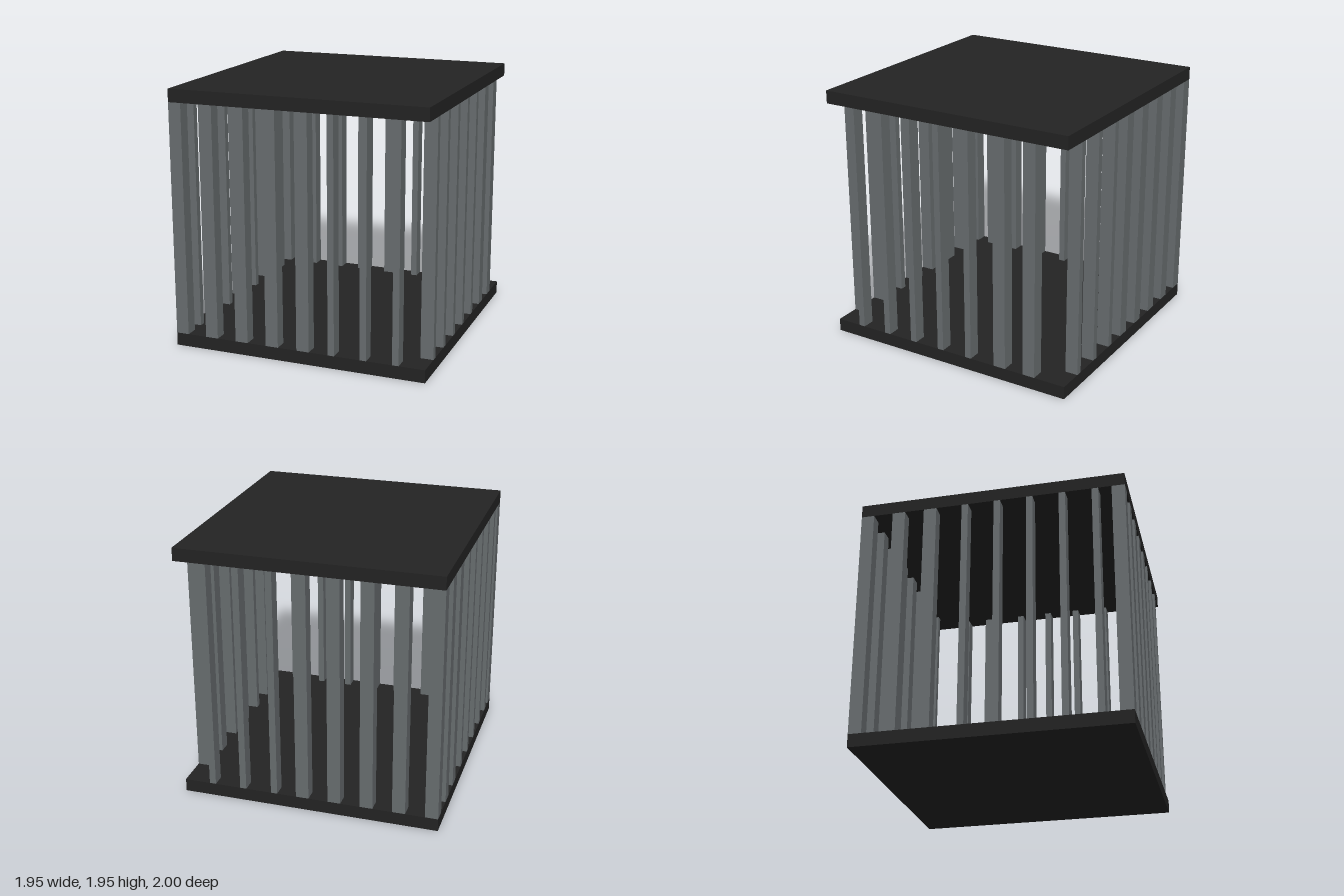
import * as THREE from 'three';

const U = 2 / 41; // one grid unit: the cage is 40 x 40 x 41 units

export function createModel() {
  const cage = new THREE.Group();
  cage.name = 'cage';
  const plateMat = new THREE.MeshStandardMaterial({ color: 0x232323 });
  plateMat.name = 'black plate';
  const barMat = new THREE.MeshStandardMaterial({ color: 0x676c6e });
  barMat.name = 'grey bar';

  // Box given by its minimum corner and size, in grid units
  function box(name, mat, x, y, z, w, h, d) {
    const mesh = new THREE.Mesh(new THREE.BoxGeometry(w * U, h * U, d * U), mat);
    mesh.position.set((x + w / 2) * U, (y + h / 2) * U, (z + d / 2) * U);
    mesh.name = name;
    cage.add(mesh);
  }

  // Floor and roof
  box('floorPlate', plateMat, -20, 0, -20.5, 40, 2, 41);
  box('roofPlate', plateMat, -20, 38, -20.5, 40, 2, 41);

  // Front and back rows: [start x, width]; the +x corners stay open
  const rowX = [[-20, 2], [-15, 2], [-10, 2], [-5, 2], [0, 2], [5, 1], [10, 1], [15, 1]];
  for (const [x, w] of rowX) {
    box('frontBar', barMat, x, 2, 18.5, w, 36, 2);
    box('backBar', barMat, x, 2, -20.5, w, 36, 2);
  }

  // Side rows: [start z, depth]
  const rowZ = [[-15.5, 2], [-10.5, 2], [-4.5, 1], [0.5, 1], [5.5, 1], [10.5, 1], [15.5, 1]];
  for (const [z, d] of rowZ) {
    box('leftBar', barMat, 18, 2, z, 2, 36, d);
    box('rightBar', barMat, -20, 2, z, 2, 36, d);
  }
  return cage;
}
